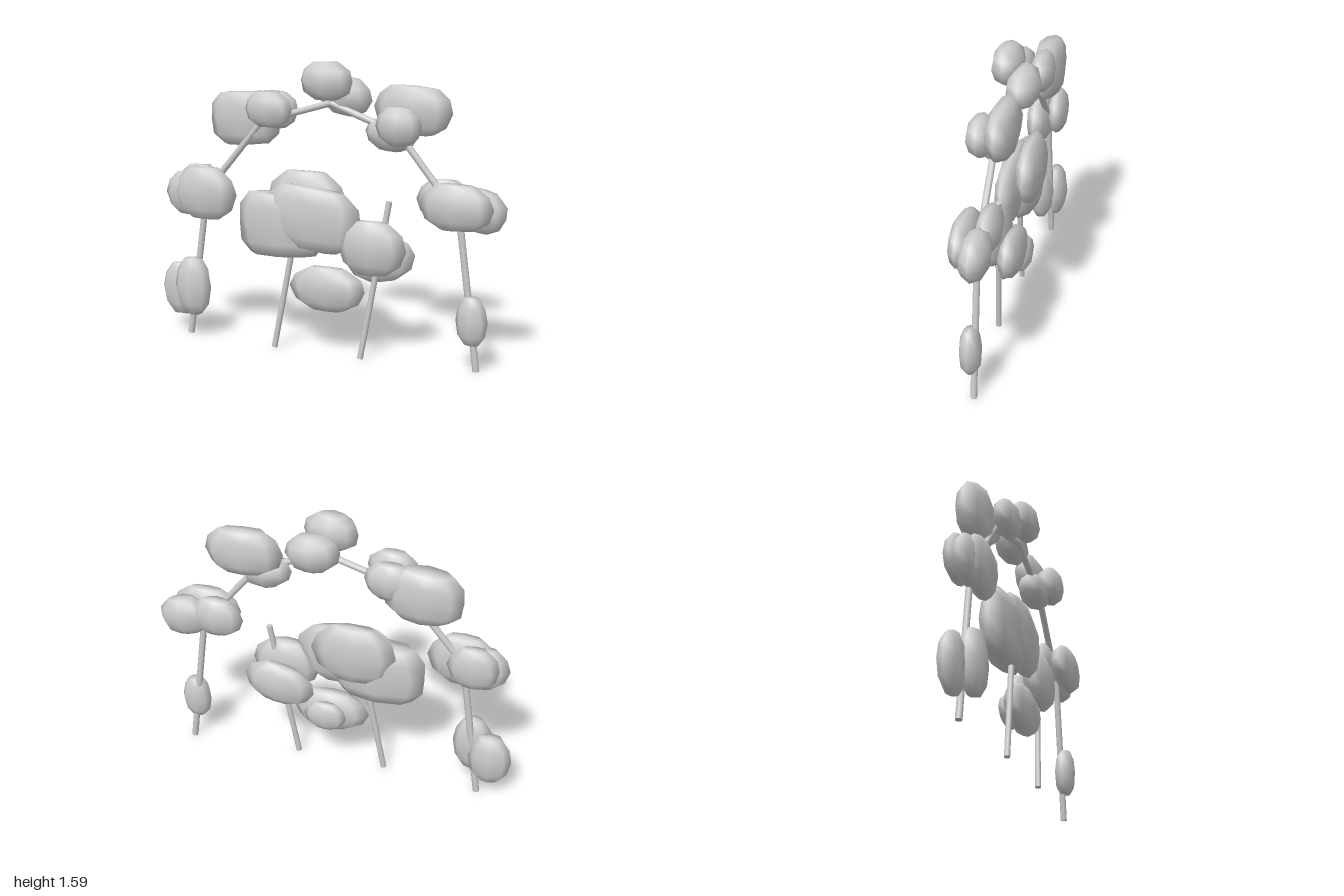
import * as THREE from 'three';
import { mergeVertices } from 'three/addons/utils/BufferGeometryUtils.js';

const material = new THREE.MeshStandardMaterial({ color: 0xcccccc });

// Small seeded generator for the uneven clumps
let seed = 7;
const rand = () => {
  seed = (seed * 16807) % 2147483647;
  return seed / 2147483647 - 0.5;
};

// Leaf clump: eight-sided faceted lens, pointed at the sides, gently irregular.
// boxy below 1 fills out the top and bottom corners.
function clump([x, y, z, rx, ry, rz, roll = 0, boxy = 1]) {
  const profile = [[0, -1], [0.45, -0.97], [0.85, -0.6], [1, 0], [0.88, 0.55], [0.5, 0.96], [0, 1]]
    .map(([r, h]) => new THREE.Vector2(r ** boxy, h));
  let geo = new THREE.LatheGeometry(profile, 8);
  geo.deleteAttribute('uv');
  geo.deleteAttribute('normal');
  geo = mergeVertices(geo, 1e-3);
  const p = geo.attributes.position;
  for (let i = 0; i < p.count; i++) {
    const px = p.getX(i), py = p.getY(i), pz = p.getZ(i);
    p.setXYZ(i,
      px * rx * (1 + 0.08 * rand()),
      py * ry * (1 + 0.05 * rand()),
      pz * rz * (1 + 0.12 * rand()));
  }
  geo.computeVertexNormals();
  const mesh = new THREE.Mesh(geo, material);
  mesh.position.set(x, y, z);
  mesh.rotation.z = roll;
  return mesh;
}

// Straight round pole between two points
function pole(a, b, radius, name) {
  const from = new THREE.Vector3(...a), to = new THREE.Vector3(...b);
  const dir = to.clone().sub(from);
  const mesh = new THREE.Mesh(new THREE.CylinderGeometry(radius, radius, dir.length(), 10), material);
  mesh.position.copy(from).add(to).multiplyScalar(0.5);
  mesh.quaternion.setFromUnitVectors(new THREE.Vector3(0, 1, 0), dir.normalize());
  mesh.name = name;
  return mesh;
}

export function createModel() {
  const model = new THREE.Group();
  model.name = 'foliageArch';

  // Arch frame
  const path = [[-0.82, 0.005], [-0.7, 0.84], [-0.36, 1.25], [0.04, 1.37], [0.42, 1.23], [0.75, 0.82], [0.86, 0.005]];
  const frame = new THREE.Group();
  frame.name = 'archFrame';
  for (let i = 1; i < path.length; i++) {
    frame.add(pole([...path[i - 1], 0], [...path[i], 0], 0.018, 'archPole'));
  }
  model.add(frame);

  // Free-standing inner stems
  model.add(pole([-0.275, 0.005, 0.045], [-0.15, 0.68, 0.03], 0.016, 'innerStemRight'));
  model.add(pole([0.23, 0.005, 0.045], [0.37, 0.87, 0], 0.016, 'innerStemLeft'));

  // Clumps as [x, y, z, rx, ry, rz, roll, boxy]
  const cluster = (name, list) => {
    const group = new THREE.Group();
    group.name = name;
    list.forEach((c) => group.add(clump(c)));
    model.add(group);
  };
  cluster('crownFoliage', [
    [0.03, 1.49, 0.035, 0.15, 0.1, 0.085],
    [0.1, 1.405, -0.06, 0.15, 0.1, 0.09, -0.15],
  ]);
  cluster('upperLeftFoliage', [
    [0.475, 1.35, -0.06, 0.21, 0.125, 0.075, -0.05, 0.7],
    [0.44, 1.28, 0.065, 0.125, 0.1, 0.075],
    [0.37, 1.225, -0.01, 0.14, 0.085, 0.09, -0.1],
  ]);
  cluster('upperRightFoliage', [
    [-0.485, 1.255, -0.055, 0.21, 0.145, 0.085, 0.05, 0.6],
    [-0.295, 1.325, 0.05, 0.14, 0.095, 0.07],
    [-0.31, 1.31, -0.06, 0.14, 0.1, 0.07],
  ]);
  cluster('middleRightFoliage', [
    [-0.69, 0.84, 0.045, 0.19, 0.145, 0.07],
    [-0.8, 0.825, 0.02, 0.14, 0.12, 0.065],
    [-0.76, 0.86, -0.045, 0.14, 0.12, 0.06],
  ]);
  cluster('middleLeftFoliage', [
    [0.75, 0.885, 0.06, 0.2, 0.12, 0.07],
    [0.85, 0.86, -0.02, 0.15, 0.11, 0.08, -0.25],
    [0.66, 0.895, -0.035, 0.15, 0.11, 0.065],
  ]);
  cluster('lowerRightFoliage', [
    [-0.77, 0.3, 0.05, 0.11, 0.165, 0.07],
    [-0.88, 0.26, -0.015, 0.12, 0.15, 0.065],
  ]);
  cluster('lowerLeftFoliage', [[0.835, 0.28, 0.02, 0.085, 0.13, 0.06]]);
  cluster('centreFoliage', [
    [-0.24, 0.7, 0.01, 0.265, 0.175, 0.09, 0.02, 0.4],
    [-0.06, 0.75, 0.04, 0.29, 0.17, 0.07, -0.1, 0.7],
    [-0.12, 0.82, -0.05, 0.23, 0.17, 0.075],
  ]);
  cluster('innerLeftFoliage', [
    [0.29, 0.62, 0.04, 0.19, 0.145, 0.075],
    [0.3, 0.54, -0.055, 0.2, 0.12, 0.065, 0.2],
  ]);
  cluster('lowerCentreFoliage', [
    [0.03, 0.365, 0.025, 0.22, 0.12, 0.07],
    [0.04, 0.37, -0.05, 0.12, 0.085, 0.045],
  ]);
  return model;
}
